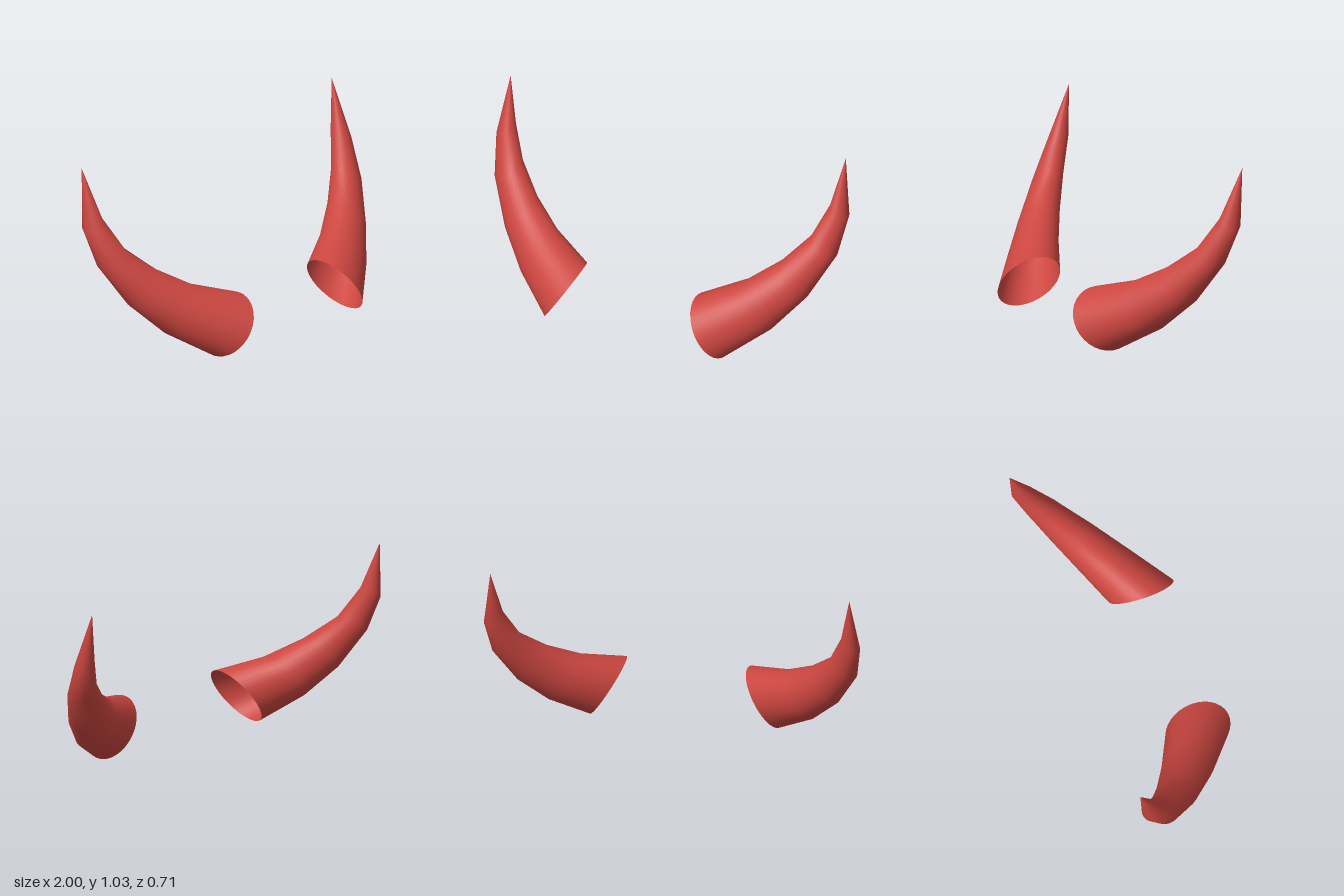
import * as THREE from 'three';

// Rings along one horn: inner edge (x, y), outer edge (x, y), centre z
const RINGS = [
  [0.32, 0.305, 0.51, 0.0, 0.177],
  [0.54, 0.375, 0.71, 0.135, 0.04],
  [0.70, 0.475, 0.855, 0.295, -0.078],
  [0.825, 0.60, 0.97, 0.51, -0.195],
  [0.90, 0.77, 1.0, 0.71, -0.283],
  [0.955, 1.03, 0.955, 1.03, -0.355], // tip
];
const SEGMENTS = 32;

// Open, tapering horn; side is +1 for left, -1 for right
function hornGeometry(side) {
  const positions = [];
  const indices = [];
  for (const [ix, iy, ox, oy, z] of RINGS) {
    const ux = (ix - ox) / 2;
    const uy = (iy - oy) / 2;
    const radius = Math.hypot(ux, uy);
    for (let j = 0; j < SEGMENTS; j++) {
      const a = (j / SEGMENTS) * Math.PI * 2;
      positions.push(
        side * ((ix + ox) / 2 + ux * Math.cos(a)),
        (iy + oy) / 2 + uy * Math.cos(a),
        z + radius * Math.sin(a),
      );
    }
  }
  const addFace = (a, b, c) => indices.push(...(side > 0 ? [a, b, c] : [a, c, b]));
  for (let i = 0; i < RINGS.length - 1; i++) {
    for (let j = 0; j < SEGMENTS; j++) {
      const k = (j + 1) % SEGMENTS;
      const a = i * SEGMENTS + j;
      const b = i * SEGMENTS + k;
      addFace(a, b, a + SEGMENTS);
      if (i < RINGS.length - 2) addFace(b, b + SEGMENTS, a + SEGMENTS);
    }
  }
  const geometry = new THREE.BufferGeometry();
  geometry.setAttribute('position', new THREE.Float32BufferAttribute(positions, 3));
  geometry.setIndex(indices);
  geometry.computeVertexNormals();
  return geometry;
}

export function createModel() {
  const model = new THREE.Group();
  model.name = 'horns';
  const red = new THREE.MeshStandardMaterial({ color: 0xcc4640, side: THREE.DoubleSide });
  red.name = 'horn red';
  for (const [name, side] of [['leftHorn', 1], ['rightHorn', -1]]) {
    const horn = new THREE.Mesh(hornGeometry(side), red);
    horn.name = name;
    model.add(horn);
  }
  return model;
}
